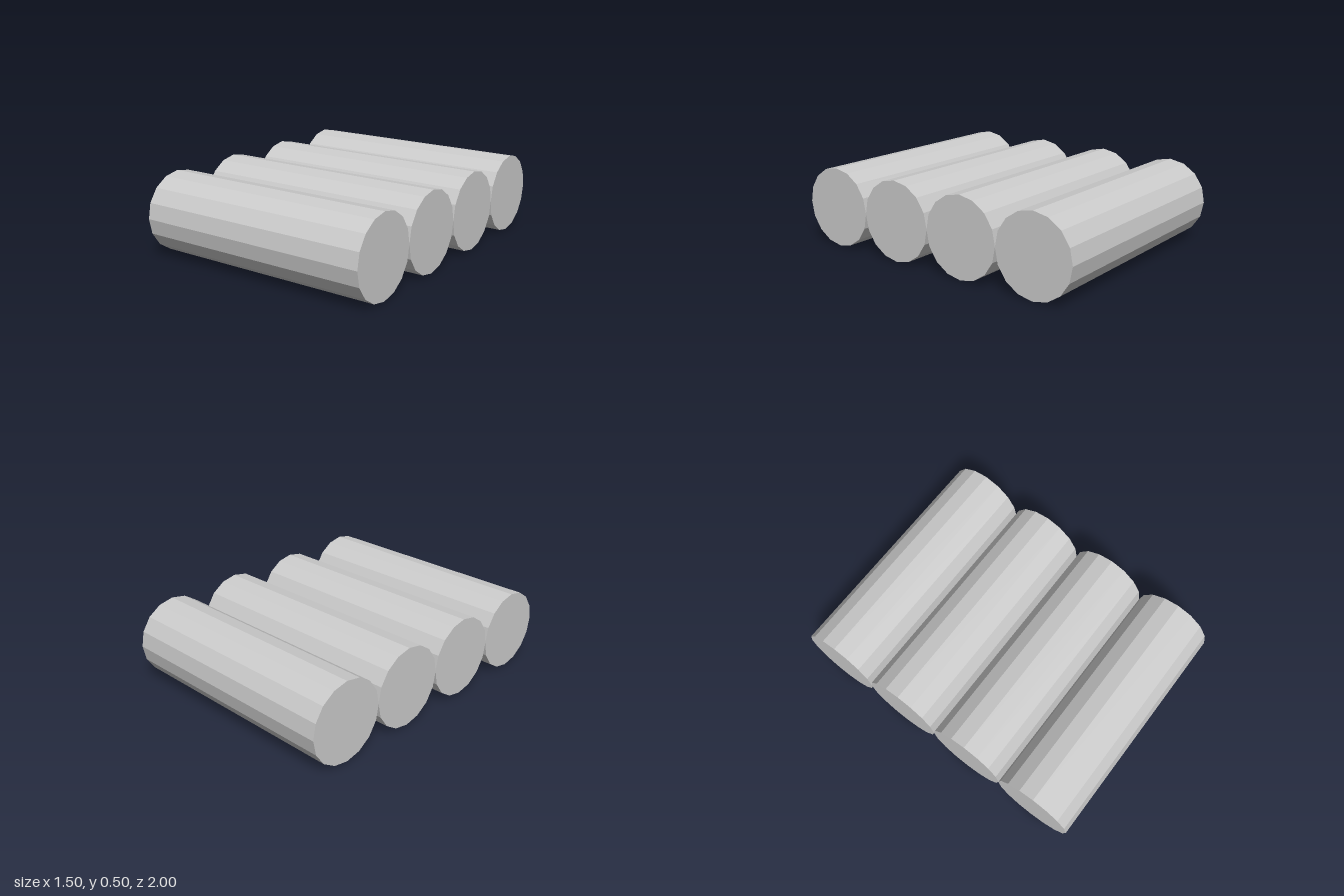
import * as THREE from 'three';

const RADIUS = 0.25;
const LENGTH = 1.5;
const COUNT = 4;

export function createModel() {
  const model = new THREE.Group();
  model.name = 'logRow';

  const material = new THREE.MeshStandardMaterial({ color: 0xcccccc, flatShading: true });

  // 16-sided log lying along x
  const geometry = new THREE.CylinderGeometry(RADIUS, RADIUS, LENGTH, 16);
  geometry.rotateZ(Math.PI / 2);

  // Logs side by side along z, touching each other
  for (let i = 0; i < COUNT; i++) {
    const log = new THREE.Mesh(geometry, material);
    log.name = `log${i + 1}`;
    log.position.set(0, RADIUS, (i - (COUNT - 1) / 2) * 2 * RADIUS);
    model.add(log);
  }

  return model;
}
